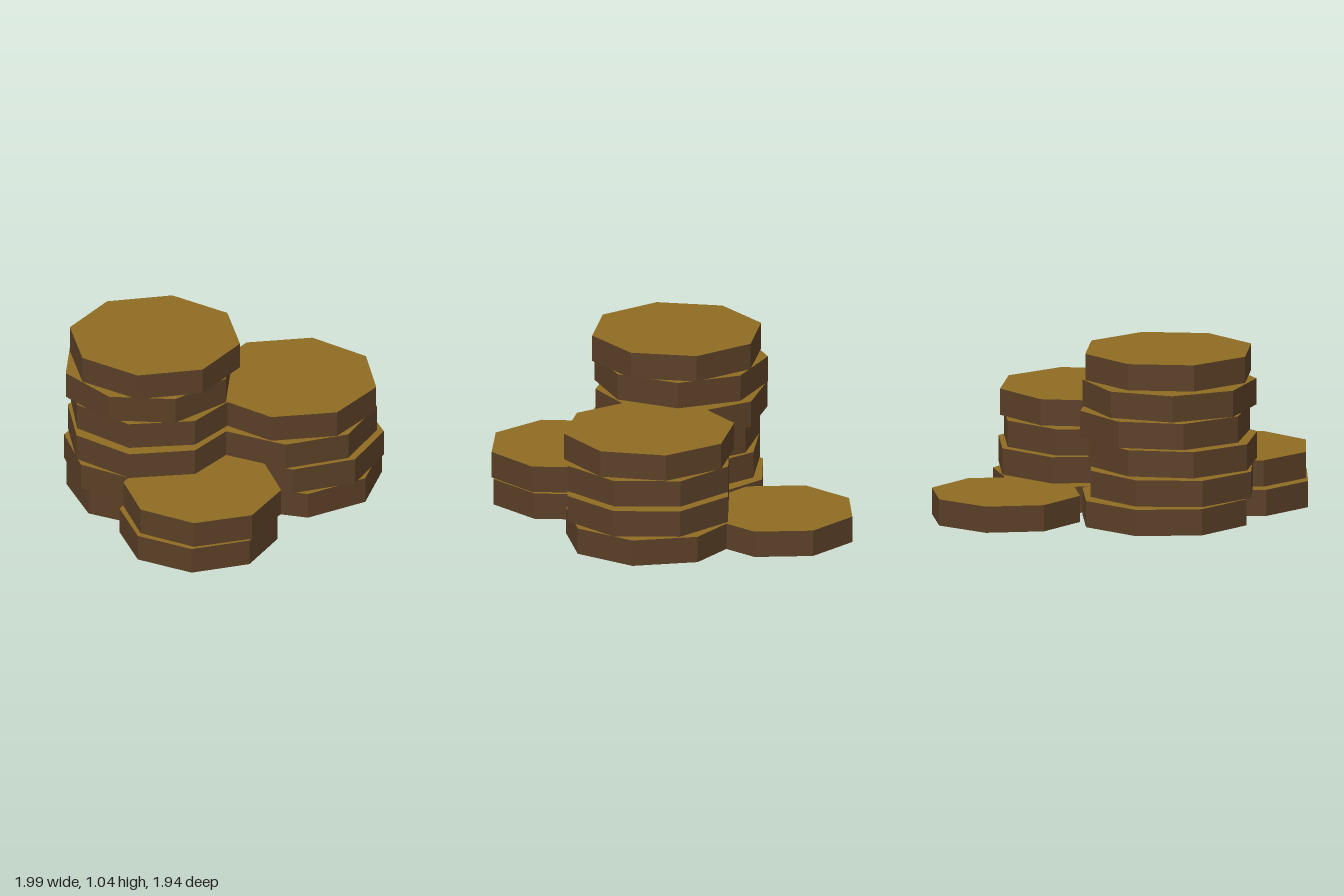
import * as THREE from 'three';

const THICKNESS = 0.16;
const PITCH = 0.176;

export function createModel() {
  const model = new THREE.Group();
  model.name = 'coinPile';

  const gold = new THREE.MeshStandardMaterial({ color: 0x8e6b22, flatShading: true });
  gold.name = 'dull gold';
  const bronze = new THREE.MeshStandardMaterial({ color: 0x5a3f26, flatShading: true });
  bronze.name = 'dark bronze';

  // Each stack lists its coins from the bottom up: [x, z, turn in degrees from +x towards +z]
  const stacks = [
    {
      name: 'tallStack', radius: 0.52, coins: [
        [-0.355, -0.187, -4], [-0.395, -0.165, 1], [-0.395, -0.15, 8],
        [-0.357, -0.182, 9.5], [-0.39, -0.19, 19.7], [-0.367, -0.155, 4.5],
      ],
    },
    {
      name: 'frontStack', radius: 0.52, coins: [
        [0.389, 0.249, -15], [0.385, 0.265, -4], [0.345, 0.25, -4], [0.357, 0.25, 6.6],
      ],
    },
    { name: 'lowStack', radius: 0.475, coins: [[-0.526, 0.475, -2], [-0.51, 0.49, -1]] },
    { name: 'singleCoin', radius: 0.46, coins: [[0.536, -0.515, -8]] },
  ];

  for (const { name, radius, coins } of stacks) {
    const stack = new THREE.Group();
    stack.name = name;
    // Eight-sided coin: bronze rim and underside, gold top face
    const geometry = new THREE.CylinderGeometry(radius, radius, THICKNESS, 8);
    coins.forEach(([x, z, turn], i) => {
      const coin = new THREE.Mesh(geometry, [bronze, gold, bronze]);
      coin.name = 'coin';
      coin.position.set(x, THICKNESS / 2 + i * PITCH, z);
      coin.rotation.y = -THREE.MathUtils.degToRad(turn);
      stack.add(coin);
    });
    model.add(stack);
  }
  return model;
}
